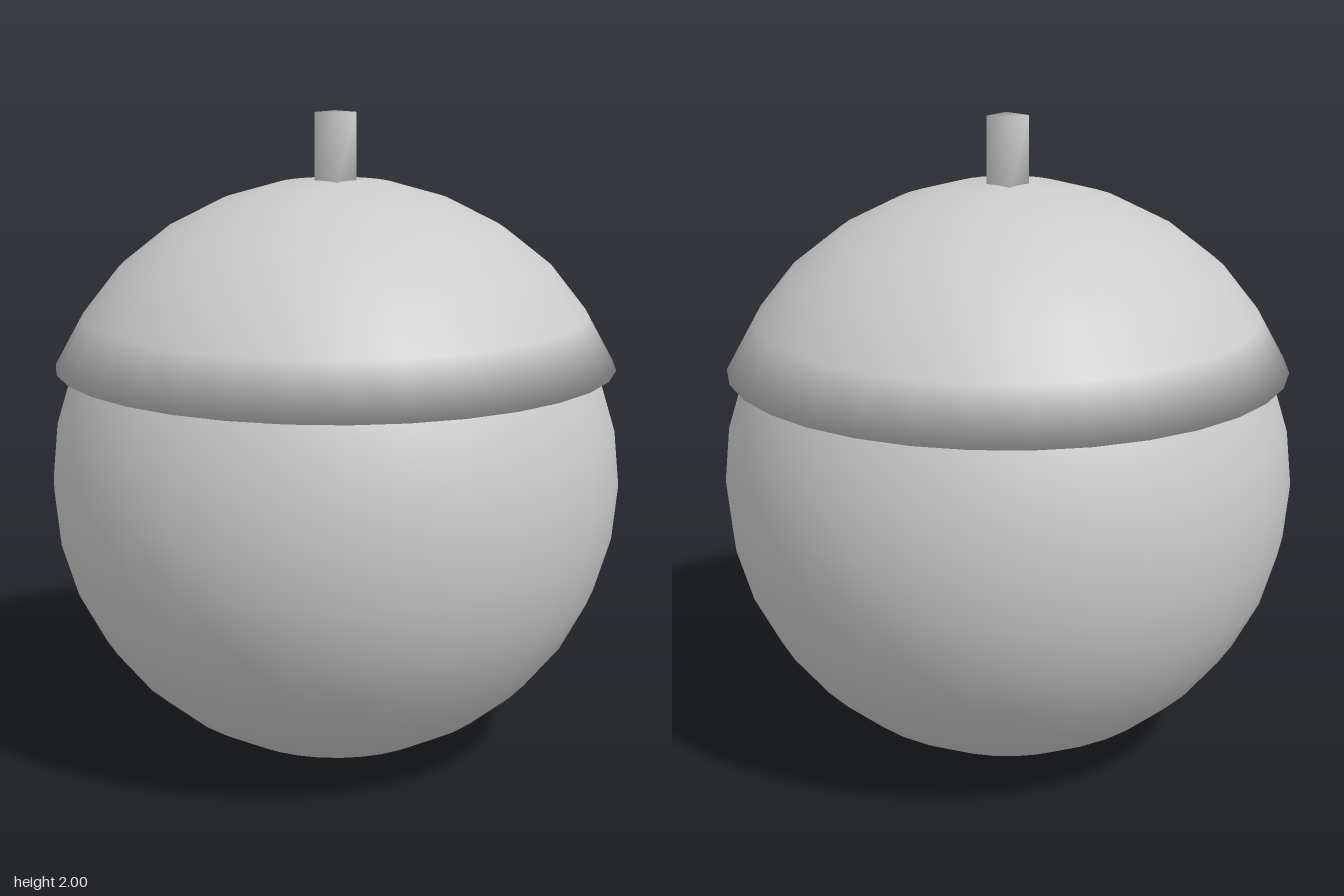
import * as THREE from 'three';
import { mergeVertices } from 'three/addons/utils/BufferGeometryUtils.js';

const SEGMENTS = 32;

export function createModel() {
  const model = new THREE.Group();
  const material = new THREE.MeshStandardMaterial({ color: 0xcccccc });

  const add = (name, geometry, y = 0) => {
    const mesh = new THREE.Mesh(geometry, material);
    mesh.name = name;
    mesh.position.y = y;
    model.add(mesh);
  };

  // Round nut body
  add('nut', new THREE.SphereGeometry(0.875, SEGMENTS, 16), 0.878);

  // Domed cap with an overhanging rim and a flat underside
  const capProfile = [
    [0, 1.235], [0.858, 1.235], [0.77, 1.395], [0.66, 1.535],
    [0.515, 1.65], [0.35, 1.735], [0.18, 1.785], [0, 1.8],
  ].map(([r, y]) => new THREE.Vector2(r, y));
  add('cap', new THREE.LatheGeometry(capProfile, SEGMENTS));

  // Square stem, corners welded for soft shading
  let stem = new THREE.BoxGeometry(0.09, 0.22, 0.09);
  stem.deleteAttribute('normal');
  stem.deleteAttribute('uv');
  stem = mergeVertices(stem);
  stem.computeVertexNormals();
  add('stem', stem, 1.89);

  return model;
}
